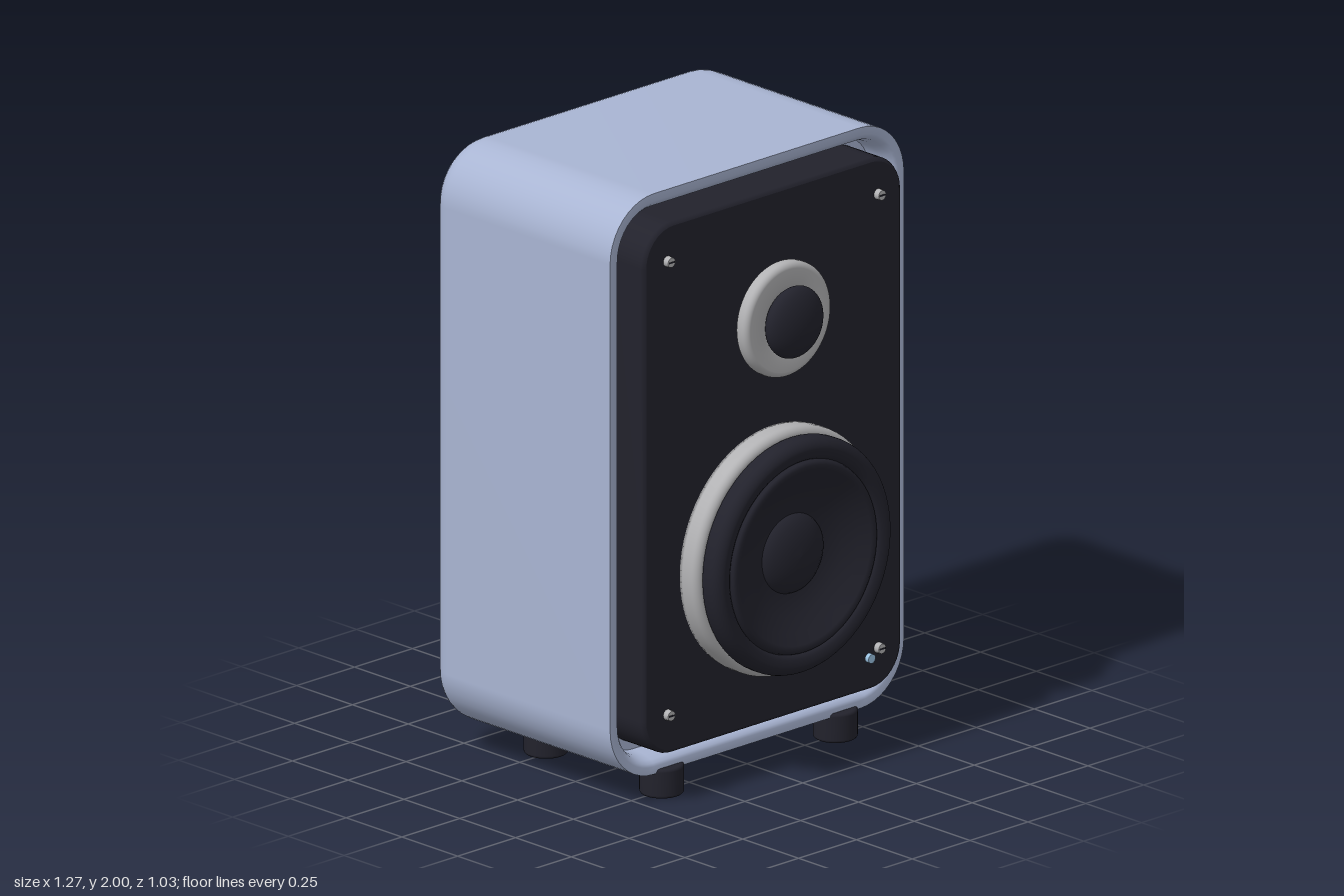
import * as THREE from 'three';

const mat = (name, color) => {
  const m = new THREE.MeshStandardMaterial({ color });
  m.name = name;
  return m;
};

// Closed loft of rounded rectangles; each ring is [inset, z], repeat a ring for a sharp edge
function roundedLoft(halfW, halfH, radius, rings, steps = 10) {
  const pos = [], idx = [], n = 4 * (steps + 1);
  pos.push(0, 0, rings[0][1]);
  for (const [inset, z] of rings) {
    const r = radius - inset;
    for (let c = 0; c < 4; c++) {
      const cx = (c === 0 || c === 3 ? 1 : -1) * (halfW - radius);
      const cy = (c < 2 ? 1 : -1) * (halfH - radius);
      for (let s = 0; s <= steps; s++) {
        const a = (c + s / steps) * Math.PI / 2;
        pos.push(cx + r * Math.cos(a), cy + r * Math.sin(a), z);
      }
    }
  }
  const last = rings.length - 1, end = pos.length / 3;
  pos.push(0, 0, rings[last][1]);
  const at = (k, i) => 1 + k * n + (i % n);
  for (let i = 0; i < n; i++) {
    idx.push(0, at(0, i + 1), at(0, i), end, at(last, i), at(last, i + 1));
    for (let k = 0; k < last; k++) {
      if (rings[k].every((v, j) => v === rings[k + 1][j])) continue;
      idx.push(at(k, i), at(k, i + 1), at(k + 1, i + 1), at(k, i), at(k + 1, i + 1), at(k + 1, i));
    }
  }
  const g = new THREE.BufferGeometry();
  g.setAttribute('position', new THREE.Float32BufferAttribute(pos, 3));
  g.setIndex(idx);
  g.computeVertexNormals();
  return g;
}

// Quarter-round run of [radius, height] points
function arc(cx, cy, r, from, to, steps = 8) {
  return Array.from({ length: steps + 1 }, (_, i) => {
    const a = THREE.MathUtils.degToRad(from + (to - from) * i / steps);
    return [cx + r * Math.cos(a), cy + r * Math.sin(a)];
  });
}

const lathe = (pts, seg = 64) =>
  new THREE.LatheGeometry(pts.map(([x, y]) => new THREE.Vector2(Math.max(x, 0), y)), seg);
// Lathe turned so its axis points to the front
const frontLathe = (pts, seg) => lathe(pts, seg).rotateX(Math.PI / 2);

export function createModel() {
  const group = new THREE.Group();
  const shell = mat('blue grey shell', 0xa9b5d3);
  const black = mat('soft black', 0x22222c);
  const silver = mat('silver trim', 0xb2b2b4);
  const blue = mat('indicator blue', 0x9cc4e4);

  const add = (name, geometry, material, x, y, z) => {
    const m = new THREE.Mesh(geometry, material);
    m.name = name;
    m.position.set(x, y, z);
    group.add(m);
    return m;
  };

  // Cabinet: rounded back, straight sides, rim falling into a recess
  const back = arc(0.08, -0.435, 0.08, 270, 180);
  add('cabinet', roundedLoft(0.635, 0.9575, 0.19, [
    back[0], ...back, [0, 0.295], [0, 0.295],
    [0.025, 0.295], [0.035, 0.291], [0.045, 0.28], [0.055, 0.25],
    [0.06, 0.2], [0.06, 0.2],
  ]), shell, 0, 1.0425, 0);

  // Baffle
  add('baffle', roundedLoft(0.558, 0.875, 0.13, [
    [0, 0.19], [0, 0.19], [0, 0.353], [0.004, 0.361], [0.012, 0.365], [0.012, 0.365],
  ]), black, 0, 1.045, 0);

  // Tweeter ring and dome
  add('tweeterRing', frontLathe([
    [0.08, 0.387], [0.17, 0.387], ...arc(0.168, 0.407, 0.02, -90, 0),
    ...arc(0.168, 0.42, 0.02, 0, 90), [0.12, 0.44], [0.08, 0.43], [0.08, 0.387],
  ]), silver, 0, 1.51, 0);
  const dome = add('tweeterDome', new THREE.SphereGeometry(0.117, 40, 24), black, 0, 1.51, 0.462);
  dome.scale.z = 0.42;

  // Woofer frame, surround, cone and dust cap
  add('wooferFrame', frontLathe([
    [0, 0.36], [0.4, 0.36], [0.404, 0.38], ...arc(0.379, 0.415, 0.025, 0, 90), [0.3, 0.44],
  ]), silver, 0, 0.745, 0);
  add('wooferSurround', frontLathe([
    [0.3, 0.438], ...arc(0.365, 0.458, 0.02, -90, 0), ...arc(0.35, 0.48, 0.035, 0, 90),
    [0.33, 0.513], [0.32, 0.505], [0.315, 0.497],
  ]), black, 0, 0.745, 0);
  add('wooferCone', frontLathe([
    [0.316, 0.497], [0.311, 0.51], [0.3, 0.516], [0.285, 0.511],
    [0.25, 0.49], [0.2, 0.468], [0.16, 0.456], [0.13, 0.452],
  ]), black, 0, 0.745, 0);
  add('dustCap', frontLathe([
    [0.131, 0.45], [0.125, 0.463], [0.105, 0.477], [0.075, 0.488], [0.04, 0.494], [0, 0.496],
  ]), black, 0, 0.745, 0);

  // Slotted screws in the baffle corners
  const screwGeo = new THREE.CylinderGeometry(0.016, 0.018, 0.024, 20).rotateX(Math.PI / 2);
  const slotGeo = new THREE.BoxGeometry(0.026, 0.005, 0.002);
  for (const x of [-0.455, 0.455]) {
    for (const y of [0.302, 1.797]) {
      add('screw', screwGeo, silver, x, y, 0.373);
      add('screwSlot', slotGeo, black, x, y, 0.3855);
    }
  }

  // Power light
  add('powerLight', new THREE.CylinderGeometry(0.015, 0.015, 0.016, 20).rotateX(Math.PI / 2),
    blue, 0.39, 0.29, 0.398);

  // Feet
  const footGeo = lathe([
    [0, 0], [0.06, 0], ...arc(0.06, 0.01, 0.01, -90, 0, 4),
    ...arc(0.06, 0.087, 0.01, 0, 90, 4), [0, 0.097],
  ], 32);
  for (const x of [-0.375, 0.375]) {
    for (const z of [0.257, -0.262]) add('foot', footGeo, black, x, 0, z);
  }
  return group;
}
